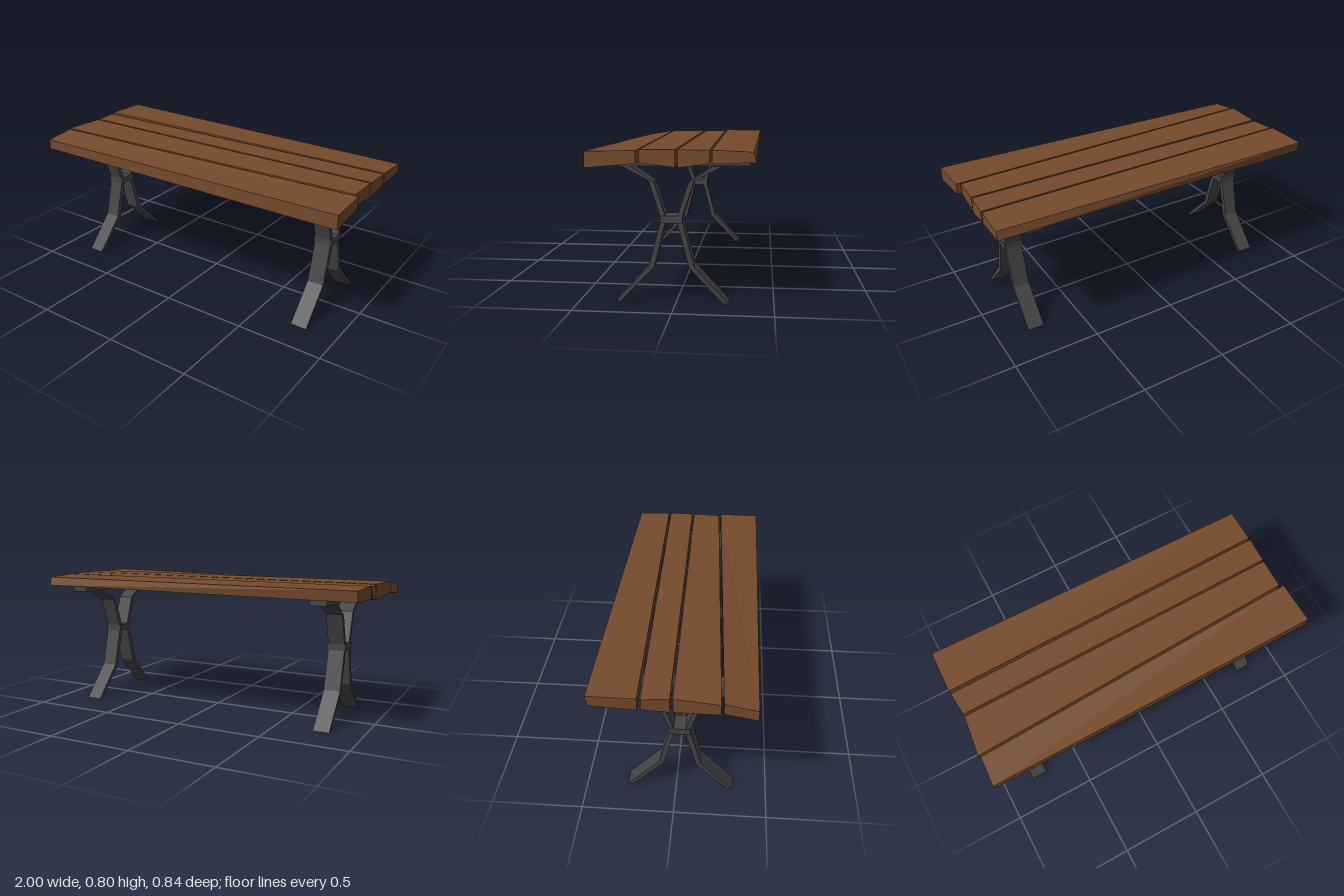
import * as THREE from 'three';

const wood = new THREE.MeshStandardMaterial({ color: 0x754a2b });
wood.name = 'brownWood';
const metal = new THREE.MeshStandardMaterial({ color: 0x444444 });
metal.name = 'darkMetal';

// Six-sided block from corners: bottom loop then top loop,
// each ordered left-front, right-front, right-back, left-back.
function hexahedron(c) {
  const faces = [[3, 2, 1, 0], [4, 5, 6, 7], [0, 1, 5, 4], [1, 2, 6, 5], [2, 3, 7, 6], [3, 0, 4, 7]];
  const pos = [];
  for (const [a, b, d, e] of faces) for (const i of [a, b, d, a, d, e]) pos.push(...c[i]);
  const geo = new THREE.BufferGeometry();
  geo.setAttribute('position', new THREE.Float32BufferAttribute(pos, 3));
  geo.computeVertexNormals();
  return geo;
}

// Plank corners are [x, z, bottom y, top y].
function plank(name, corners) {
  const bottom = corners.map(([x, z, y]) => [x, y, z]);
  const top = corners.map(([x, z, , y]) => [x, y, z]);
  const mesh = new THREE.Mesh(hexahedron([...bottom, ...top]), wood);
  mesh.name = name;
  return mesh;
}

// Side profile given as [z, y] points, extruded along x and centred.
function profile(name, points, width) {
  const shape = new THREE.Shape(points.map(([z, y]) => new THREE.Vector2(-z, y)));
  const geo = new THREE.ExtrudeGeometry(shape, { depth: width, bevelEnabled: false });
  geo.translate(0, 0, -width / 2);
  geo.rotateY(Math.PI / 2);
  const mesh = new THREE.Mesh(geo, metal);
  mesh.name = name;
  return mesh;
}

function trestle(name, x) {
  const g = new THREE.Group();
  g.name = name;
  const mid = 0.0225;
  // Bent flat-bar leg: offsets from the trestle's centre line
  const leg = [
    [0.293, 0], [0.116, 0.193], [0.058, 0.415], [0.058, 0.453], [0.116, 0.63], [0.258, 0.704],
    [0.208, 0.704], [0.088, 0.624], [0.031, 0.453], [0.031, 0.415], [0.088, 0.187], [0.265, 0],
  ];
  for (const s of [1, -1]) {
    g.add(profile(s > 0 ? 'frontLeg' : 'backLeg', leg.map(([z, y]) => [mid + s * z, y]), 0.095));
  }
  // Clamp holding the two legs together
  const clamp = new THREE.Mesh(new THREE.BoxGeometry(0.107, 0.038, 0.114), metal);
  clamp.name = 'clamp';
  clamp.position.set(0, 0.434, mid);
  g.add(clamp);
  // Slightly tilted bar under the planks
  g.add(profile('supportBar', [[0.39, 0.702], [-0.372, 0.707], [-0.372, 0.742], [0.39, 0.737]], 0.095));
  g.position.x = x;
  return g;
}

export function createModel() {
  const model = new THREE.Group();
  model.name = 'table';

  // Four uneven hand-cut planks, front to back
  model.add(
    plank('frontPlank', [
      [-1.0, 0.418, 0.709, 0.768], [1.0, 0.418, 0.709, 0.789],
      [0.993, 0.17, 0.731, 0.794], [-0.99, 0.25, 0.731, 0.794]]),
    plank('frontMiddlePlank', [
      [-1.0, 0.238, 0.733, 0.796], [0.97, 0.157, 0.733, 0.796],
      [0.975, -0.018, 0.712, 0.798], [-0.975, 0.005, 0.712, 0.798]]),
    plank('backMiddlePlank', [
      [-0.975, -0.01, 0.711, 0.797], [0.977, -0.03, 0.711, 0.798],
      [0.983, -0.182, 0.733, 0.797], [-0.99, -0.15, 0.733, 0.797]]),
    plank('backPlank', [
      [-0.992, -0.167, 0.731, 0.803], [0.982, -0.195, 0.731, 0.797],
      [0.985, -0.403, 0.74, 0.79], [-0.987, -0.407, 0.74, 0.8]]),
  );
  // Rear top edge leans outwards at one end and inwards at the other
  const back = model.getObjectByName('backPlank').geometry.attributes.position;
  for (let i = 0; i < back.count; i++) {
    if (back.getZ(i) < -0.4 && back.getY(i) > 0.76) back.setZ(i, back.getX(i) < 0 ? -0.417 : -0.391);
  }
  model.getObjectByName('backPlank').geometry.computeVertexNormals();

  model.add(trestle('leftTrestle', 0.773), trestle('rightTrestle', -0.77));
  return model;
}
